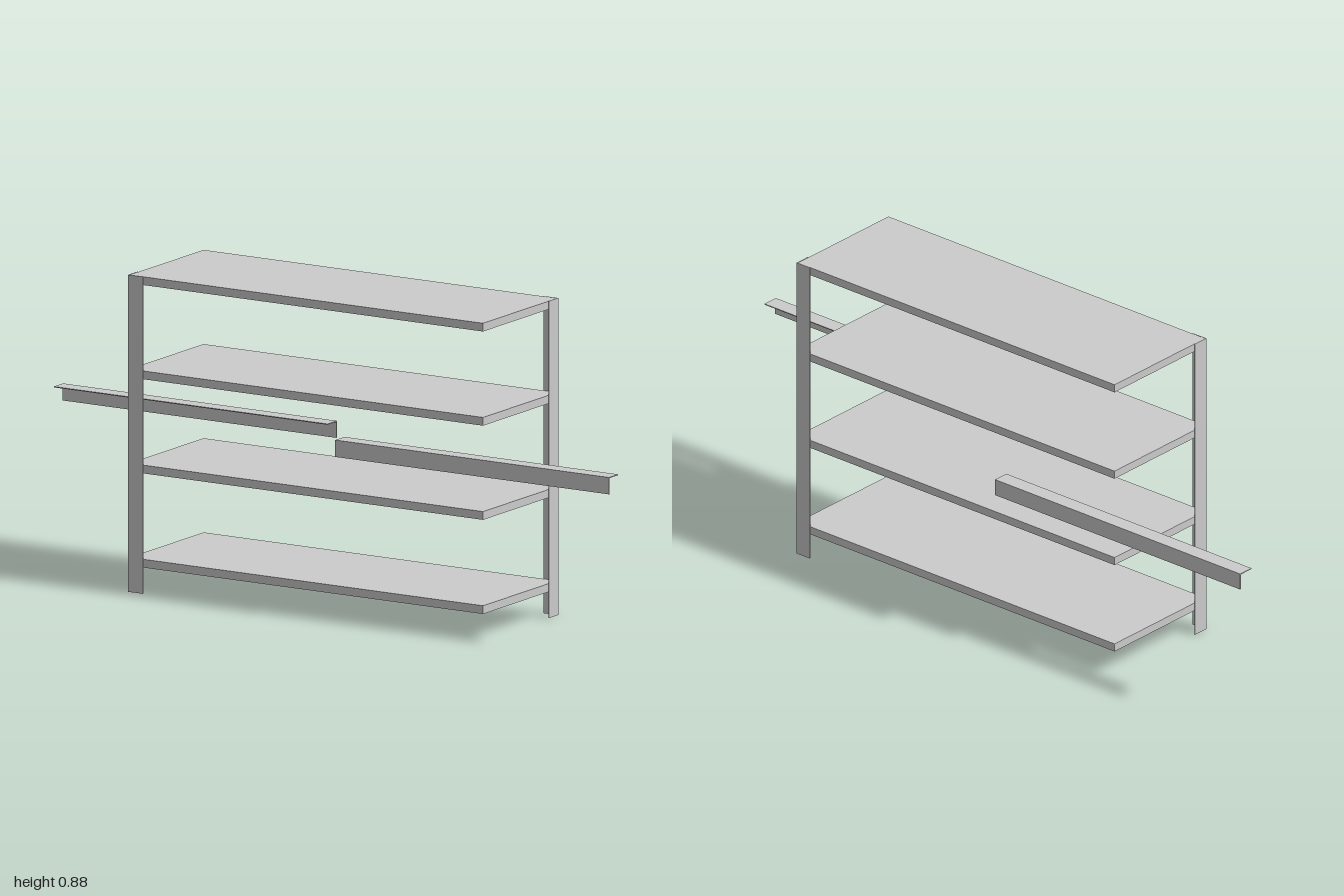
import * as THREE from 'three';

const LENGTH = 0.882; // length of every angle bar
const FLANGE = 0.047; // flange width
const SHEET = 0.0025; // sheet thickness

const material = new THREE.MeshStandardMaterial({ color: 0xcccccc, flatShading: true });

// L-shaped bar: outer corner at the origin, flanges along +x and +y, length along +z
function angleBar(name) {
  const s = new THREE.Shape();
  s.moveTo(0, 0);
  s.lineTo(FLANGE, 0);
  s.lineTo(FLANGE, SHEET);
  s.lineTo(SHEET, SHEET);
  s.lineTo(SHEET, FLANGE);
  s.lineTo(0, FLANGE);
  s.closePath();
  const geometry = new THREE.ExtrudeGeometry(s, { depth: LENGTH, bevelEnabled: false });
  const mesh = new THREE.Mesh(geometry, material);
  mesh.name = name;
  return mesh;
}

export function createModel() {
  const group = new THREE.Group();
  group.name = 'shelfUnit';

  // Four solid shelves, evenly spaced
  const left = -0.546, right = 0.593, thickness = 0.023;
  for (let i = 0; i < 4; i++) {
    const shelf = new THREE.Mesh(new THREE.BoxGeometry(right - left, thickness, 0.375), material);
    shelf.name = `shelf${i + 1}`;
    shelf.position.set((left + right) / 2, 0.084 + i * 0.262, 0);
    group.add(shelf);
  }

  // Upright posts at two opposite corners, wrapped round the shelves
  const frontPost = angleBar('frontPost');
  frontPost.rotation.x = -Math.PI / 2;
  frontPost.position.set(left - SHEET, 0, 0.19);
  // after the turn the second flange runs towards -z
  group.add(frontPost);

  const backPost = angleBar('backPost');
  backPost.rotation.set(-Math.PI / 2, 0, Math.PI);
  backPost.rotation.order = 'YXZ';
  backPost.position.set(right + SHEET, 0, -0.19);
  group.add(backPost);

  // Loose horizontal bars: one flange on top, one hanging on the outer side
  const frontBar = angleBar('frontBar');
  frontBar.rotation.set(0, Math.PI / 2, -Math.PI / 2, 'YXZ');
  frontBar.rotation.z = Math.PI;
  frontBar.rotation.y = Math.PI / 2;
  // profile x runs to +z before the half turn, so the top flange points to -z... mirrored below
  frontBar.rotation.set(0, Math.PI / 2, -Math.PI / 2, 'YXZ');
  frontBar.position.set(0.118, 0.501, 0.19);
  group.add(frontBar);

  const backBar = angleBar('backBar');
  backBar.rotation.set(0, -Math.PI / 2, -Math.PI / 2, 'YXZ');
  backBar.position.set(-0.118, 0.456, -0.19);
  group.add(backBar);

  return group;
}
